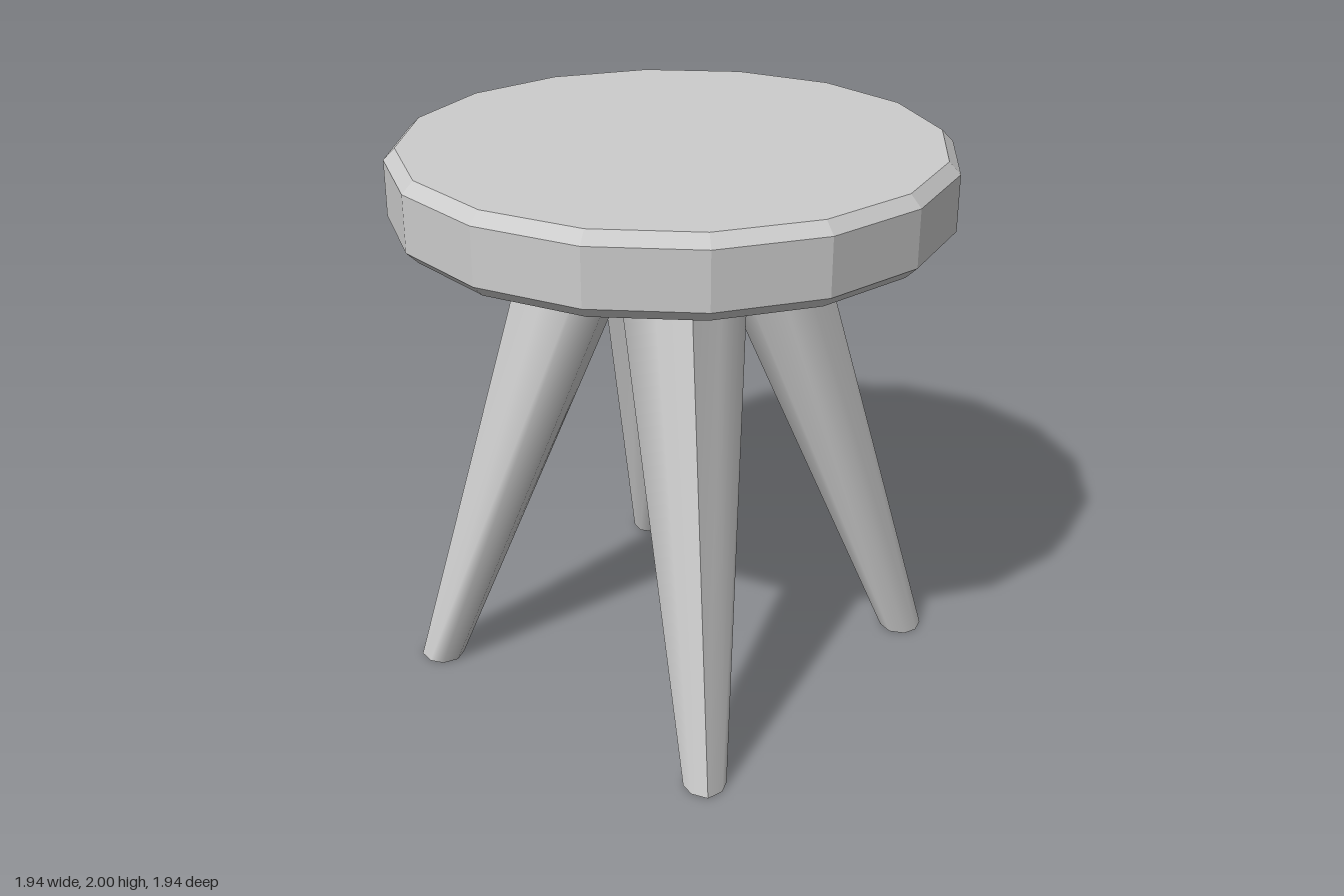
import * as THREE from 'three';

const SEAT_BOTTOM = 1.725;
const material = new THREE.MeshStandardMaterial({ color: 0xcccccc });
const flat = new THREE.MeshStandardMaterial({ color: 0xcccccc, flatShading: true });

// Sixteen-sided slab with chamfered rims
function makeSeat() {
  const profile = [[0, SEAT_BOTTOM], [0.93, SEAT_BOTTOM], [0.97, 1.765], [0.97, 1.96], [0.93, 2], [0, 2]];
  const geometry = new THREE.LatheGeometry(profile.map(([r, y]) => new THREE.Vector2(r, y)), 16);
  const seat = new THREE.Mesh(geometry, flat);
  seat.name = 'seat';
  return seat;
}

// Leg for one quadrant: a broad section with an outer corner, narrowing to a round foot
function makeLeg(sx, sz) {
  const ax = sx > 0 ? 0.41 : 0.36; // outer reach at the seat
  const az = sz > 0 ? 0.355 : 0.41;
  const top = [
    [0.345, 0.348], [(ax + 0.345) / 2, 0.19], [ax, 0.04], [0.2, 0],
    [0.05, 0.05], [0, 0.2], [0.04, az], [0.19, (az + 0.348) / 2],
  ];
  const angles = [45, 0, -42, -88, -135, 178, 132, 90];
  const foot = angles.map((deg, i) => {
    const a = THREE.MathUtils.degToRad(deg), r = i === 0 ? 0.083 : 0.075;
    return [0.63 + r * Math.cos(a), 0.63 + r * Math.sin(a)];
  });
  const place = ([x, z], y) => [sx * x, y, sz * z + (y === 0 ? 0.01 : 0)];

  // Repeat the first corner so the outer edge stays sharp; reverse mirrored legs
  const order = [0, 1, 2, 3, 4, 5, 6, 7, 0];
  if (sx * sz < 0) order.reverse();
  const positions = [], index = [], capPositions = [], capIndex = [];
  order.forEach((k, i) => {
    positions.push(...place(foot[k], 0), ...place(top[k], SEAT_BOTTOM));
    capPositions.push(...place(foot[k], 0));
    if (i < 8) {
      const a = 2 * i;
      index.push(a, a + 2, a + 3, a, a + 3, a + 1);
    }
    if (i > 0 && i < 7) capIndex.push(0, i + 1, i);
  });

  const build = (p, idx, name) => {
    const geometry = new THREE.BufferGeometry();
    geometry.setAttribute('position', new THREE.Float32BufferAttribute(p, 3));
    geometry.setIndex(idx);
    geometry.computeVertexNormals();
    const mesh = new THREE.Mesh(geometry, material);
    mesh.name = name;
    return mesh;
  };
  const leg = new THREE.Group();
  leg.name = (sz > 0 ? 'front' : 'back') + (sx > 0 ? 'Left' : 'Right') + 'Leg';
  leg.add(build(positions, index, 'legShaft'), build(capPositions, capIndex, 'footBottom'));
  return leg;
}

export function createModel() {
  const stool = new THREE.Group();
  stool.name = 'stool';
  stool.add(makeSeat());
  for (const sx of [1, -1]) for (const sz of [1, -1]) stool.add(makeLeg(sx, sz));
  return stool;
}
